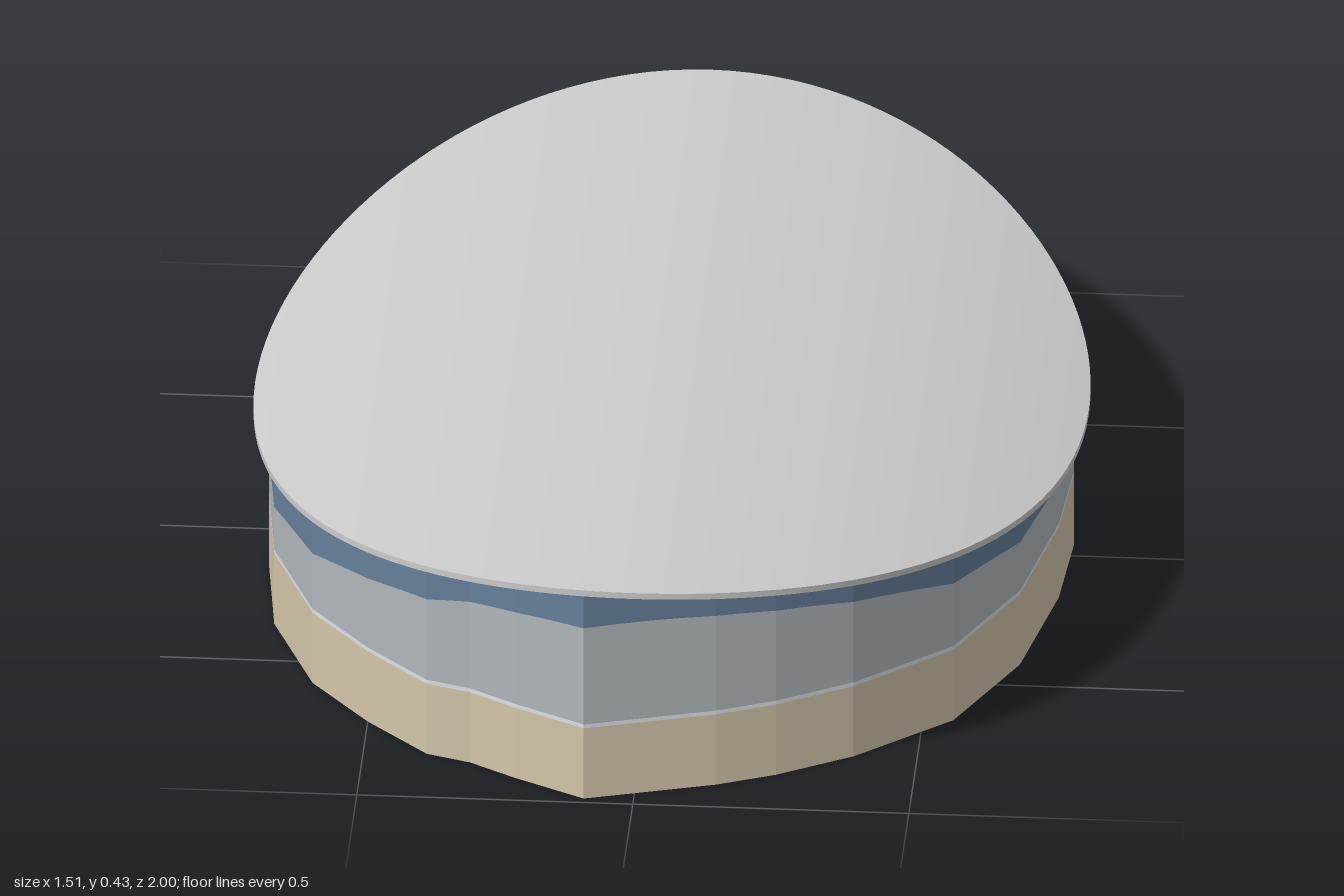
import * as THREE from 'three';
import { toCreasedNormals } from 'three/addons/utils/BufferGeometryUtils.js';

const HALF_X = 0.755, HALF_Z = 1.0, THICK = 0.012;
const roofTop = (x) => 0.433 - 0.23 * x * x;
const roofUnder = (x) => roofTop(x) - THICK;

function material(name, color, side = THREE.FrontSide) {
  const m = new THREE.MeshStandardMaterial({ color, side });
  m.name = name;
  return m;
}

// Wavy wall plan as [x, z], running from the front towards +x
const PLAN = [
  [-0.09, 0.985], [0.145, 0.915], [0.25, 0.87], [0.385, 0.79], [0.555, 0.64], [0.66, 0.42],
  [0.712, 0.16], [0.725, -0.04], [0.715, -0.17], [0.68, -0.38], [0.6, -0.56], [0.505, -0.66],
  [0.37, -0.815], [0.31, -0.84], [0.08, -0.965], [-0.045, -0.9], [-0.11, -0.957], [-0.26, -0.915],
  [-0.42, -0.8], [-0.475, -0.665], [-0.59, -0.58], [-0.665, -0.42], [-0.715, -0.15], [-0.72, 0.14],
  [-0.695, 0.36], [-0.61, 0.58], [-0.5, 0.72], [-0.385, 0.835], [-0.305, 0.862], [-0.22, 0.915],
];

// One horizontal band of the open wall between two height rules
function wallBand(name, low, high, mat) {
  const steps = 4, pos = [];
  PLAN.forEach(([x0, z0], i) => {
    const [x1, z1] = PLAN[(i + 1) % PLAN.length];
    for (let k = 0; k < steps; k++) {
      const [a, b] = [k / steps, (k + 1) / steps].map((t) => [x0 + (x1 - x0) * t, z0 + (z1 - z0) * t]);
      const p = [
        [a[0], low(a[0]), a[1]], [b[0], low(b[0]), b[1]],
        [b[0], high(b[0]), b[1]], [a[0], high(a[0]), a[1]],
      ];
      for (const c of [0, 1, 2, 0, 2, 3]) pos.push(...p[c]);
    }
  });
  const geo = new THREE.BufferGeometry();
  geo.setAttribute('position', new THREE.Float32BufferAttribute(pos, 3));
  geo.computeVertexNormals();
  const mesh = new THREE.Mesh(geo, mat);
  mesh.name = name;
  return mesh;
}

// Oval plate bent into an arch, lofted from rectangular sections along x
function archedRoof(mat) {
  const columns = 64, pos = [], index = [];
  for (let i = 0; i <= columns; i++) {
    const angle = Math.PI * (1 - i / columns);
    const x = HALF_X * Math.cos(angle), z = HALF_Z * Math.sin(angle);
    pos.push(x, roofTop(x), z, x, roofTop(x), -z, x, roofUnder(x), -z, x, roofUnder(x), z);
    if (i === columns) break;
    for (let k = 0; k < 4; k++) {
      const a = i * 4 + k, b = i * 4 + ((k + 1) % 4);
      index.push(a, a + 4, b, b, a + 4, b + 4);
    }
  }
  const geo = new THREE.BufferGeometry();
  geo.setAttribute('position', new THREE.Float32BufferAttribute(pos, 3));
  geo.setIndex(index);
  const mesh = new THREE.Mesh(toCreasedNormals(geo, 0.6), mat);
  mesh.name = 'roof';
  return mesh;
}

// Open tube with a lid
function postTier(name, radius, y0, y1, sideMat, lidMat) {
  const tier = new THREE.Group();
  tier.name = name;
  const side = new THREE.Mesh(new THREE.CylinderGeometry(radius, radius, y1 - y0, 32, 1, true), sideMat);
  side.name = name + 'Side';
  side.position.y = (y0 + y1) / 2;
  const lid = new THREE.Mesh(new THREE.CircleGeometry(radius, 32).rotateX(-Math.PI / 2), lidMat);
  lid.name = name + 'Lid';
  lid.position.y = y1;
  tier.add(side, lid);
  return tier;
}

export function createModel() {
  const grey = material('roof grey', 0xcbcbcb, THREE.DoubleSide);
  const beige = material('beige', 0xd3c5aa, THREE.DoubleSide);
  const white = material('stripe white', 0xe9eef4, THREE.DoubleSide);
  const pale = material('pale grey', 0xb0b7bb, THREE.DoubleSide);
  const slate = material('slate blue', 0x66809b, THREE.DoubleSide);
  const blue = material('post blue', 0x668cb5, THREE.DoubleSide);

  const model = new THREE.Group();
  model.name = 'ovalBuilding';

  // Wall bands from the ground up to the arched roof
  const wall = new THREE.Group();
  wall.name = 'wall';
  const at = (y) => () => y;
  const bandLow = (x) => roofUnder(x) - 0.07;
  wall.add(
    wallBand('lowerWall', at(0), at(0.144), beige),
    wallBand('wallStripe', at(0.144), at(0.152), white),
    wallBand('upperWall', at(0.152), bandLow, pale),
    wallBand('topBand', bandLow, roofUnder, slate),
  );

  // Two-step round post at the back
  const post = new THREE.Group();
  post.name = 'backPost';
  post.position.set(-0.33, 0, -0.865);
  post.add(
    postTier('postBase', 0.1, 0, 0.14, blue, grey),
    postTier('postTop', 0.078, 0.14, 0.228, blue, grey),
  );

  model.add(wall, archedRoof(grey), post);
  return model;
}
